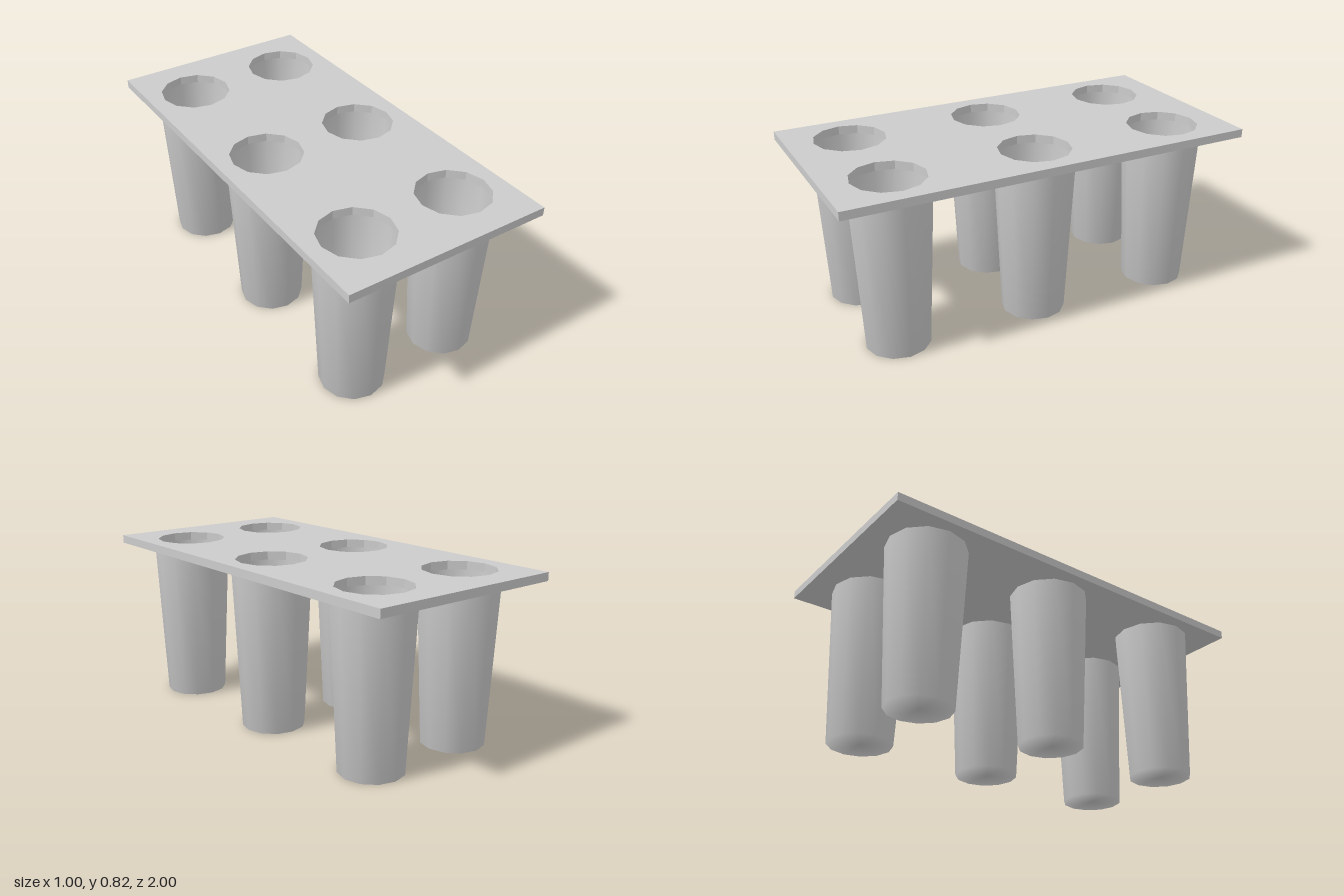
import * as THREE from 'three';

const SIDES = 12;
const PLATE_BOTTOM = 0.78, PLATE_TOP = 0.82;
const HOLE_RADIUS = 0.172;
const COLUMNS = [-0.255, 0.255];
const ROWS = [-0.705, 0, 0.705];

const material = new THREE.MeshStandardMaterial({ color: 0xcccccc });

function part(name, geometry) {
  const mesh = new THREE.Mesh(geometry, material);
  mesh.name = name;
  return mesh;
}

function lathe(points) {
  return new THREE.LatheGeometry(points.map(([r, y]) => new THREE.Vector2(r, y)), SIDES);
}

// Twelve-sided opening in the plate
function opening(cx, cz) {
  const points = [];
  for (let i = 0; i < SIDES; i++) {
    const a = (-i / SIDES) * Math.PI * 2;
    points.push(new THREE.Vector2(cx + HOLE_RADIUS * Math.cos(a), -cz + HOLE_RADIUS * Math.sin(a)));
  }
  return new THREE.Path(points);
}

export function createModel() {
  const model = new THREE.Group();
  model.name = 'cupTray';

  // Flat plate pierced by six openings
  const outline = new THREE.Shape([[-0.5, -1], [0.5, -1], [0.5, 1], [-0.5, 1]].map(([x, y]) => new THREE.Vector2(x, y)));
  for (const x of COLUMNS) for (const z of ROWS) outline.holes.push(opening(x, z));
  const plate = new THREE.ExtrudeGeometry(outline, { depth: PLATE_TOP - PLATE_BOTTOM, bevelEnabled: false });
  plate.rotateX(-Math.PI / 2).translate(0, PLATE_BOTTOM, 0);
  model.add(part('plate', plate));

  // Tapered cups: outer wall with base, and hollow inside with floor
  const outer = lathe([[0, 0], [0.152, 0], [0.19, PLATE_BOTTOM]]);
  const inner = lathe([[HOLE_RADIUS, PLATE_BOTTOM], [0.135, 0.04], [0, 0.04]]);
  for (const x of COLUMNS) {
    for (const z of ROWS) {
      const cup = new THREE.Group();
      cup.name = 'cup';
      cup.add(part('cupOuterWall', outer), part('cupInnerWall', inner));
      cup.position.set(x, 0, z);
      model.add(cup);
    }
  }
  return model;
}
